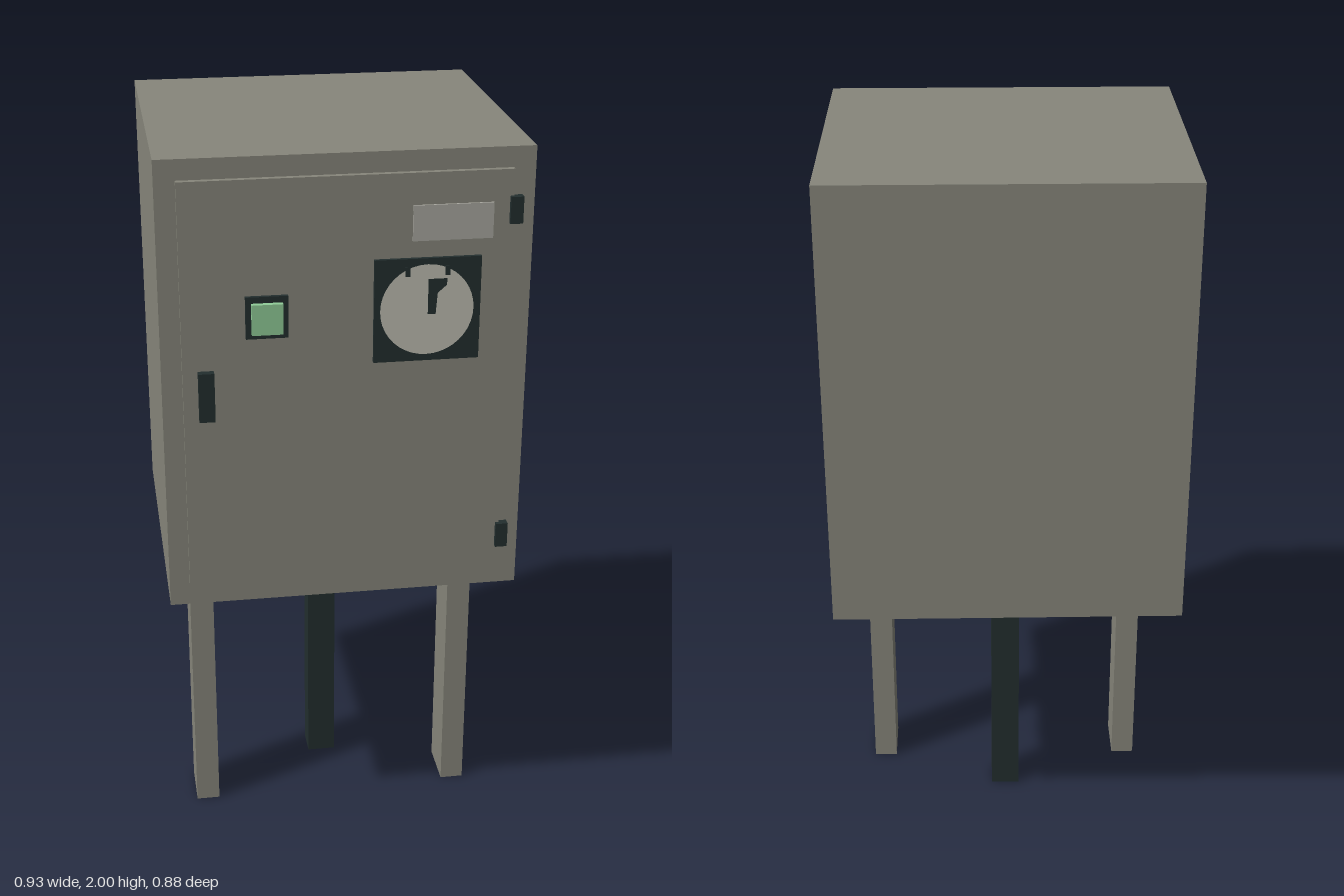
import * as THREE from 'three';

const mat = (name, color) => {
  const m = new THREE.MeshStandardMaterial({ color });
  m.name = name;
  return m;
};

export function createModel() {
  const grey = mat('cabinet grey', 0x87867b);
  const dark = mat('dark trim', 0x222e2e);
  const plate = mat('label grey', 0xa9a8a0);
  const cream = mat('dial cream', 0xbfbeb2);
  const green = mat('indicator green', 0x90cc98);

  const model = new THREE.Group();
  model.name = 'controlCabinet';

  // Box given by its min and max corner on each axis
  const box = (name, material, x0, x1, y0, y1, z0, z1) => {
    const mesh = new THREE.Mesh(new THREE.BoxGeometry(x1 - x0, y1 - y0, z1 - z0), material);
    mesh.position.set((x0 + x1) / 2, (y0 + y1) / 2, (z0 + z1) / 2);
    mesh.name = name;
    model.add(mesh);
    return mesh;
  };

  // Cabinet and door
  box('cabinet', grey, -0.465, 0.465, 0.8, 2, -0.44, 0.4);
  box('door', grey, -0.413, 0.41, 0.857, 1.948, 0.4, 0.415);

  // Side legs and the dark cable conduit behind them
  box('rightLeg', grey, -0.4, -0.335, 0, 0.8, 0.03, 0.165);
  box('leftLeg', grey, 0.335, 0.4, 0, 0.8, 0.03, 0.165);
  box('cableConduit', dark, -0.04, 0.04, 0, 0.8, -0.115, -0.037);

  // Door fittings
  box('handle', dark, -0.375, -0.335, 1.335, 1.465, 0.415, 0.435);
  for (const y of [0.955, 1.847]) box('hinge', dark, 0.4, 0.432, y - 0.034, y + 0.034, 0.405, 0.427);
  box('label', plate, 0.16, 0.36, 1.778, 1.868, 0.415, 0.42);

  // Indicator light
  box('indicatorFrame', dark, -0.254, -0.148, 1.547, 1.656, 0.415, 0.425);
  box('indicatorLight', green, -0.24, -0.162, 1.561, 1.64, 0.425, 0.439);

  // Gauge with dial face and pointer
  box('gaugeFrame', dark, 0.065, 0.333, 1.467, 1.735, 0.415, 0.425);
  const dial = new THREE.Mesh(new THREE.CircleGeometry(0.118, 40), cream);
  dial.position.set(0.198, 1.602, 0.4258);
  dial.name = 'dialFace';
  model.add(dial);
  const outline = [[0.2, 1.59], [0.22, 1.59], [0.224, 1.645], [0.247, 1.665], [0.247, 1.682], [0.2, 1.682]];
  const pointer = new THREE.Mesh(
    new THREE.ShapeGeometry(new THREE.Shape(outline.map(([x, y]) => new THREE.Vector2(x, y)))), dark);
  pointer.position.z = 0.4266;
  pointer.name = 'dialPointer';
  model.add(pointer);

  // Small dark ticks along the dial's upper rim
  for (const x of [0.148, 0.248]) box('dialTick', dark, x - 0.006, x + 0.006, 1.69, 1.715, 0.4255, 0.4266);

  return model;
}
